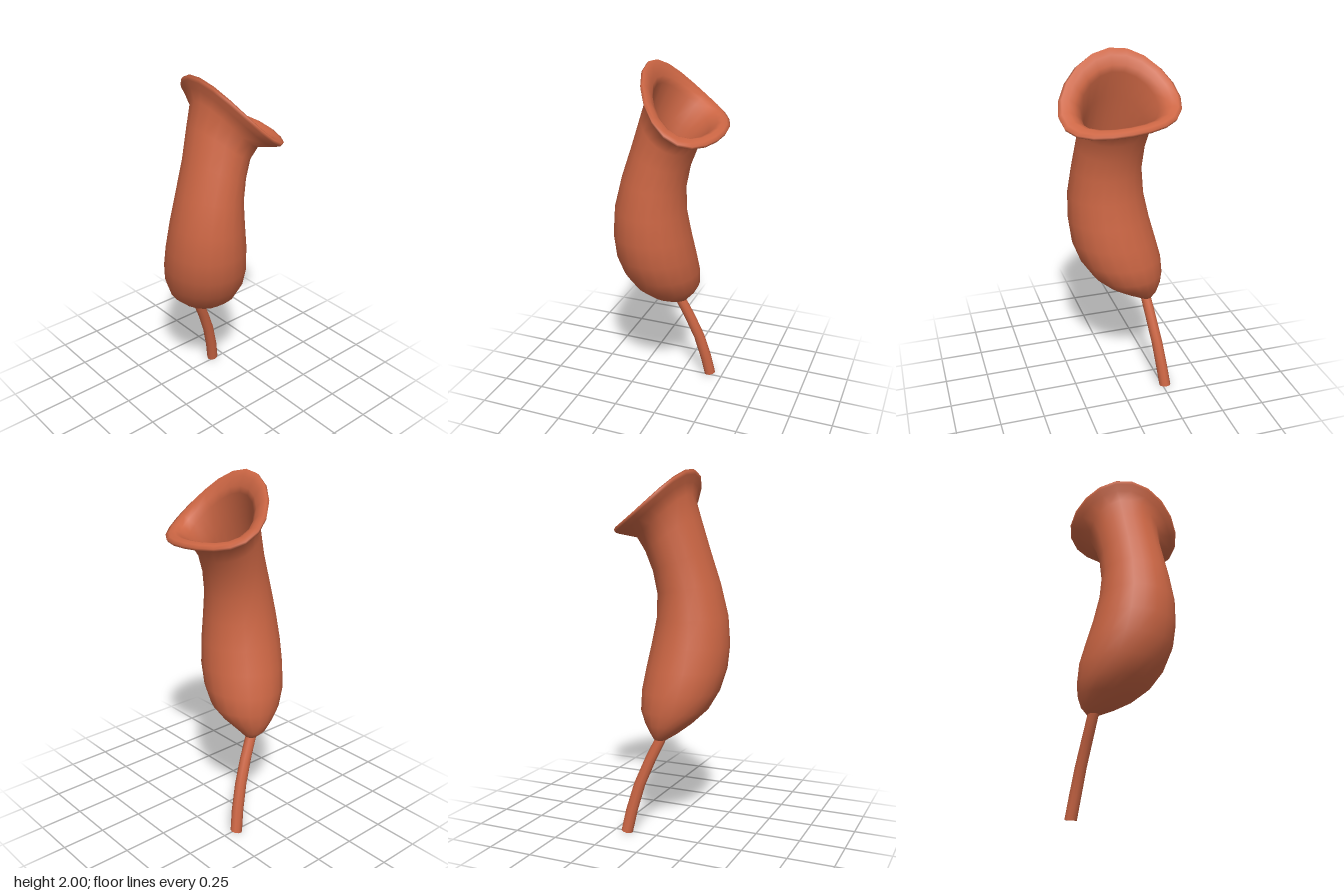
import * as THREE from 'three';

const material = new THREE.MeshStandardMaterial({ color: 0xcc6644, side: THREE.DoubleSide });

// Skin over oval rings: [y, xMin, xMax, zMin, zMax, tiltX, bendX, tiltZ]
function loft(name, rings, sides) {
  const pos = [], index = [];
  for (const [y, x0, x1, z0, z1, a = 0, b = 0, c = 0] of rings) {
    for (let i = 0; i < sides; i++) {
      const t = (i / sides) * Math.PI * 2, u = Math.cos(t), v = Math.sin(t);
      pos.push((x0 + x1) / 2 + u * (x1 - x0) / 2, y + a * u + b * u * u + c * v, (z0 + z1) / 2 + v * (z1 - z0) / 2);
    }
  }
  for (let r = 0; r < rings.length - 1; r++) {
    for (let i = 0; i < sides; i++) {
      const j = (i + 1) % sides, p = r * sides, q = p + sides;
      index.push(p + i, q + i, p + j, q + i, q + j, p + j);
    }
  }
  const g = new THREE.BufferGeometry();
  g.setAttribute('position', new THREE.Float32BufferAttribute(pos, 3));
  g.setIndex(index);
  g.computeVertexNormals();
  const mesh = new THREE.Mesh(g, material);
  mesh.name = name;
  return mesh;
}

export function createModel() {
  const group = new THREE.Group();
  group.name = 'pitcherPlant';

  // Outer wall of the pitcher, bottom to neck
  const wall = [
    [0.54, -0.035, 0.035, -0.225, -0.155],
    [0.575, -0.09, 0.06, -0.26, -0.07],
    [0.63, -0.16, 0.105, -0.28, 0.03],
    [0.70, -0.23, 0.145, -0.29, 0.115],
    [0.80, -0.28, 0.153, -0.285, 0.185],
    [0.92, -0.308, 0.142, -0.255, 0.23],
    [1.05, -0.314, 0.122, -0.22, 0.245],
    [1.20, -0.297, 0.1, -0.187, 0.243, -0.01],
    [1.36, -0.252, 0.095, -0.17, 0.222, -0.03],
    [1.50, -0.195, 0.115, -0.175, 0.205, -0.06, 0.01],
    [1.62, -0.147, 0.15, -0.195, 0.195, -0.095, 0.025, -0.01],
    [1.695, -0.108, 0.195, -0.22, 0.21, -0.12, 0.055, -0.02],
  ];
  // Flared, rolled lip
  const lip = [
    [1.715, -0.113, 0.27, -0.29, 0.285, -0.145, 0.073, -0.025],
    [1.73, -0.124, 0.305, -0.325, 0.322, -0.163, 0.083, -0.025],
    [1.745, -0.125, 0.314, -0.33, 0.328, -0.165, 0.085, -0.025],
    [1.757, -0.115, 0.298, -0.313, 0.308, -0.163, 0.084, -0.025],
    [1.757, -0.092, 0.272, -0.28, 0.27, -0.142, 0.072, -0.02],
    [1.742, -0.072, 0.248, -0.25, 0.238, -0.12, 0.06, -0.02],
    [1.715, -0.072, 0.205, -0.215, 0.205, -0.12, 0.05, -0.02],
  ];
  // Inner wall follows the outer one down to a floor
  const t = 0.025;
  const inner = wall.slice(3, 11).reverse()
    .map(([y, x0, x1, z0, z1, ...tilt]) => [y, x0 + t, x1 - t, z0 + t, z1 - t, ...tilt]);
  inner.push([0.65, -0.08, 0.04, -0.19, -0.05], [0.64, -0.02, -0.02, -0.12, -0.12]);
  const tip = [0.535, 0, 0, -0.19, -0.19];
  group.add(loft('pitcher', [tip, ...wall, ...lip, ...inner], 20));

  // Curved stem with closed ends: [x, y, z, radius]
  const stem = [
    [-0.01, 0.57, -0.185, 0.028], [0, 0.54, -0.19, 0.03], [0.055, 0.42, -0.207, 0.031],
    [0.11, 0.28, -0.228, 0.032], [0.15, 0.13, -0.247, 0.033], [0.173, 0.008, -0.263, 0.033],
  ].reverse().map(([x, y, z, r]) => [y, x - r, x + r, z - r, z + r, 0.007]);
  group.add(loft('stem', stem, 10));

  // Flat cut at the foot of the stem
  const cut = loft('stemCut', [[0.008, 0.173, 0.173, -0.263, -0.263], stem[0]], 10);
  group.add(cut);

  return group;
}
